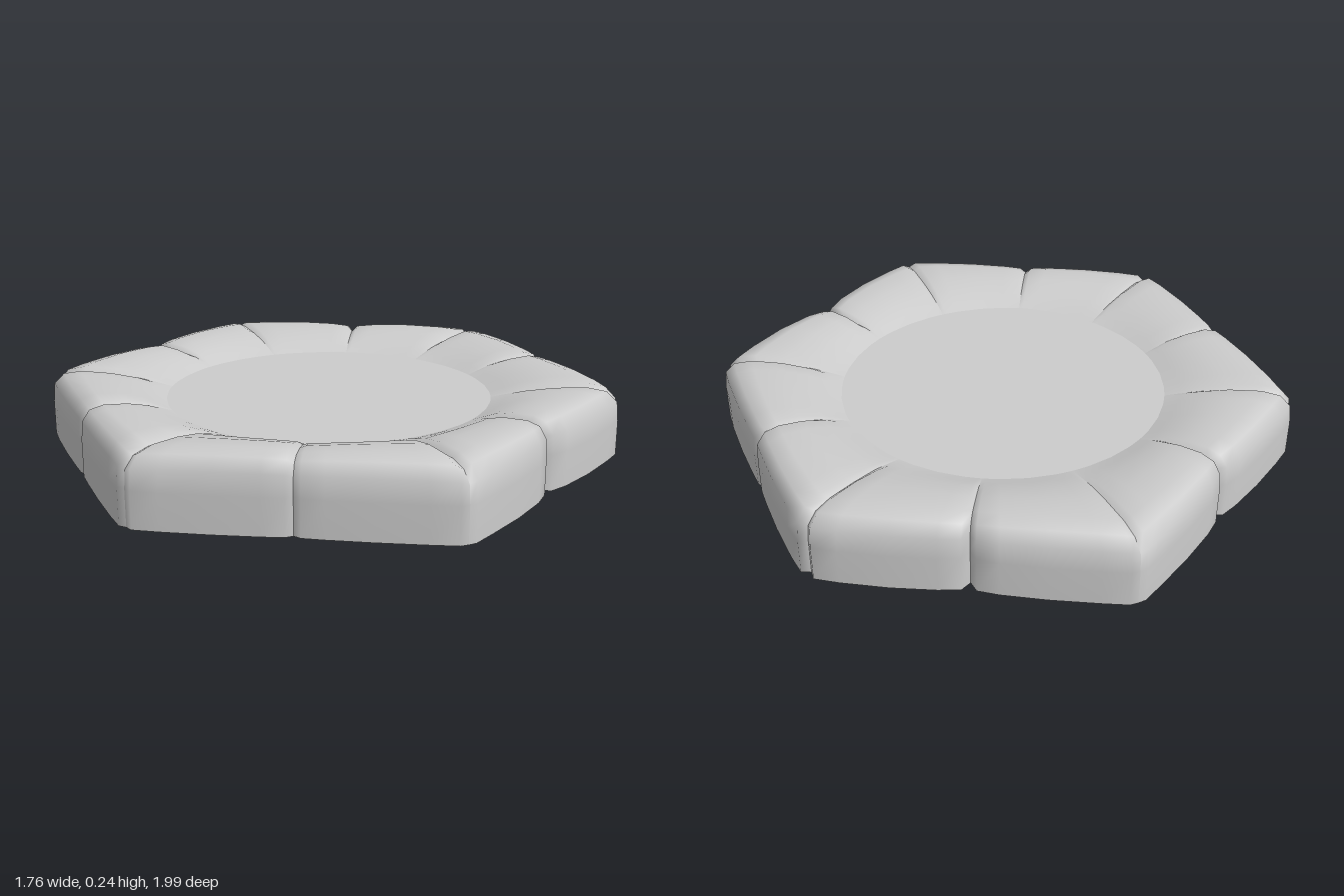
import * as THREE from 'three';

const STONES = 12;
const STEP = (Math.PI * 2) / STONES;
const APOTHEM = 0.88;
const FLOOR_Y = 0.182;

// how far the seam in front of each stone cuts into the rim
const NOTCH = [0.02, 0.08, 0.04, 0.015, 0.05, 0.05, 0.02, 0.05, 0.035, 0.01, 0.03, 0.02];

// rim profile: [0 = inner foot .. 1 = outer wall, height]
const PROFILE = [
  [1, 0], [1, 0.12], [0.985, 0.19], [0.9, 0.23], [0.75, 0.243],
  [0.5, 0.238], [0.28, 0.22], [0.12, 0.198], [0, FLOOR_Y],
];

// samples across one stone: [fraction of its width, seam strength]
const ACROSS = [[0, 1], [0.05, 0.32], [0.2, 0.12], [0.5, 0], [0.8, 0.12], [0.95, 0.32], [1, 1]];

const vary = (k, s) => Math.sin(k * 12.9 + s * 4.7);

// distance from the centre to the hexagon side at an angle (corners on z)
function hexRadius(angle) {
  const side = Math.PI / 3;
  const a = ((angle % side) + side) % side;
  return APOTHEM / Math.cos(a - side / 2);
}

// radius where stone k meets the floor, u across its width
function footRadius(k, u) {
  const at = (i) => 0.57 + 0.02 * vary(i % STONES, 2);
  return THREE.MathUtils.lerp(at(k), at(k + 1), u);
}

function stoneGeometry(k) {
  const pos = [];
  const index = [];
  const n = ACROSS.length;
  for (const [f, y] of PROFILE) {
    for (const [u, seam] of ACROSS) {
      const angle = (k + u) * STEP;
      const notch = NOTCH[(u < 0.5 ? k : k + 1) % STONES];
      const outer = hexRadius(angle) - notch * seam;
      const r = THREE.MathUtils.lerp(footRadius(k, u), outer, f);
      // seams sink a little, and each crest has its own slight tilt
      const lift = Math.max(0, y - 0.12) / 0.12;
      const crest = Math.sin(Math.PI * f) * lift;
      const h = y - lift * seam * (0.015 + notch * 0.2) * Math.min(1, f * 2.5)
        + crest * (1 - seam) * 0.012 * vary(k, 1) * (u - 0.5);
      pos.push(r * Math.sin(angle), h, r * Math.cos(angle));
    }
  }
  for (let j = 0; j < PROFILE.length - 1; j++) {
    for (let i = 0; i < n - 1; i++) {
      const a = j * n + i;
      index.push(a, a + 1, a + n + 1, a, a + n + 1, a + n);
    }
  }
  const geo = new THREE.BufferGeometry();
  geo.setAttribute('position', new THREE.Float32BufferAttribute(pos, 3));
  geo.setIndex(index);
  geo.computeVertexNormals();
  return geo;
}

// flat sheet whose outline follows the feet of all stones
function floorGeometry() {
  const outline = [];
  for (let k = 0; k < STONES; k++) {
    for (const [u] of ACROSS.slice(0, -1)) {
      const r = footRadius(k, u);
      const a = (k + u) * STEP;
      outline.push(new THREE.Vector2(r * Math.sin(a), -r * Math.cos(a)));
    }
  }
  return new THREE.ShapeGeometry(new THREE.Shape(outline))
    .rotateX(-Math.PI / 2)
    .translate(0, FLOOR_Y, 0);
}

export function createModel() {
  const group = new THREE.Group();
  group.name = 'stoneBasin';
  const material = new THREE.MeshStandardMaterial({ color: 0xcccccc, side: THREE.DoubleSide });

  // ring of rounded stones, open underneath
  const rim = new THREE.Group();
  rim.name = 'stoneRim';
  for (let k = 0; k < STONES; k++) {
    const stone = new THREE.Mesh(stoneGeometry(k), material);
    stone.name = 'rimStone' + (k + 1);
    rim.add(stone);
  }
  group.add(rim);

  // sunken floor
  const floor = new THREE.Mesh(floorGeometry(), material);
  floor.name = 'floor';
  group.add(floor);

  return group;
}
